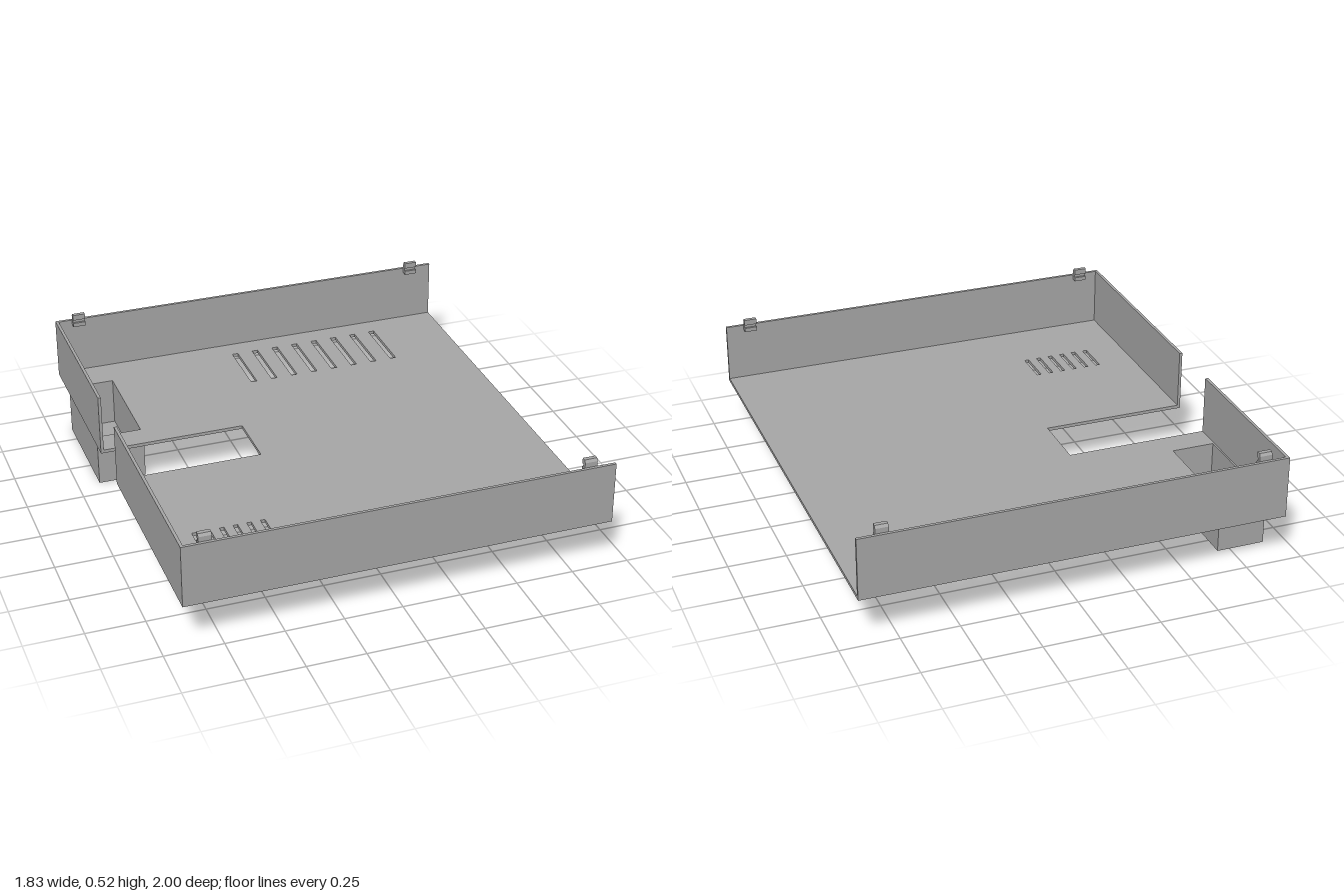
import * as THREE from 'three';

export function createModel() {
  const model = new THREE.Group();
  model.name = 'enclosureTray';
  const grey = new THREE.MeshStandardMaterial({ color: 0xa8a8a8 });
  grey.name = 'grey plastic';

  const W = 0.915, D = 1, T = 0.013;
  const BASE = 0.21, FLOOR = 0.225, RIM = 0.483;

  const add = (name, geometry, parent = model) => {
    const mesh = new THREE.Mesh(geometry, grey);
    mesh.name = name;
    parent.add(mesh);
    return mesh;
  };
  // Box given by its two extreme corners
  const box = (name, x0, x1, y0, y1, z0, z1, parent) => {
    const g = new THREE.BoxGeometry(x1 - x0, y1 - y0, z1 - z0);
    g.translate((x0 + x1) / 2, (y0 + y1) / 2, (z0 + z1) / 2);
    return add(name, g, parent);
  };

  // Floor plate: notch in the right edge, two rows of vents, a pocket opening
  const points = (list) => list.map(([x, z]) => new THREE.Vector2(x, z));
  const plate = new THREE.Shape(points([
    [-W, -D], [W, -D], [W, D], [-W, D],
    [-W, 0.027], [-0.275, 0.027], [-0.275, -0.235], [-W, -0.235],
  ]));
  const cut = (x0, x1, z0, z1) =>
    plate.holes.push(new THREE.Path(points([[x0, z0], [x0, z1], [x1, z1], [x1, z0]])));
  for (let i = 0; i < 8; i++) {
    const x = -0.098 + i * 0.0972;
    cut(x - 0.0135, x + 0.0135, -0.89, -0.605);
  }
  for (let i = 0; i < 6; i++) {
    const x = -0.727 + i * 0.0585;
    cut(x - 0.01, x + 0.01, 0.53, 0.69);
  }
  cut(-0.895, -0.705, -0.83, -0.355);
  const floor = new THREE.ExtrudeGeometry(plate, { depth: FLOOR - BASE, bevelEnabled: false });
  floor.rotateX(Math.PI / 2).translate(0, FLOOR, 0);
  add('floorPlate', floor);

  // Walls: full front and back, right side split by the notch, left side open
  box('frontWall', -W, W, FLOOR, RIM, D - T, D);
  box('backWall', -W, W, FLOOR, RIM, -D, -D + T);
  box('rightWallFront', -W, -W + T, FLOOR, RIM, 0.027, D - T);
  box('rightWallBack', -W, -W + T, FLOOR, RIM, -D + T, -0.235);

  // Hollow pocket hanging under the floor
  const pocket = new THREE.Group();
  pocket.name = 'pocket';
  model.add(pocket);
  const [px0, px1, pz0, pz1] = [-0.905, -0.695, -0.84, -0.34];
  box('pocketBottom', px0, px1, 0, 0.012, pz0, pz1, pocket);
  box('pocketRightSide', px0, -0.895, 0.012, BASE, pz0, pz1, pocket);
  box('pocketLeftSide', -0.705, px1, 0.012, BASE, pz0, pz1, pocket);
  box('pocketBack', -0.895, -0.705, 0.012, BASE, pz0, -0.83, pocket);
  box('pocketFront', -0.895, -0.705, 0.012, BASE, -0.355, pz1, pocket);

  // Snap clips: a stem on the inner wall face with a hooked head
  const hook = new THREE.Shape(points([
    [0.987, 0.46], [0.987, 0.505], [0.98, 0.517], [0.962, 0.517],
    [0.962, 0.492], [0.97, 0.492], [0.97, 0.478], [0.96, 0.478], [0.96, 0.46],
  ]));
  for (const side of [1, -1]) {
    for (const x of [-0.813, 0.808]) {
      // Shape axes become z and y; the depth runs along -x
      const g = new THREE.ExtrudeGeometry(hook, { depth: 0.055, bevelEnabled: false });
      g.translate(0, 0, -0.0275).rotateY(side * -Math.PI / 2);
      g.translate(x, 0, 0);
      add(side > 0 ? 'frontClip' : 'backClip', g);
    }
  }
  return model;
}
